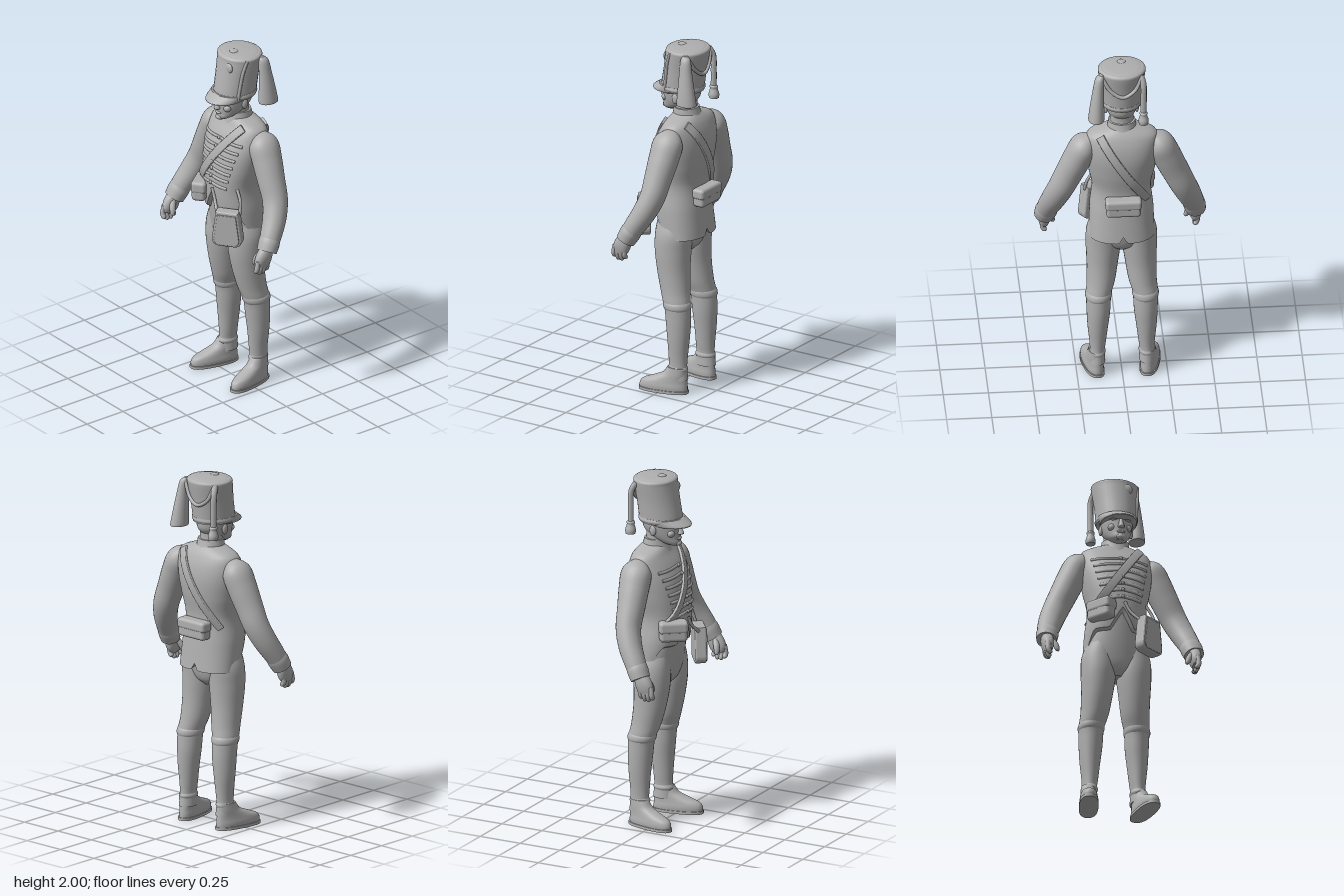
import * as THREE from 'three';
import { RoundedBoxGeometry } from 'three/addons/geometries/RoundedBoxGeometry.js';

const V = (x, y, z) => new THREE.Vector3(x, y, z);
const sgnPow = (v, e) => Math.sign(v) * Math.pow(Math.abs(v), e);

// Closed skin over equal-length rings, with flat caps at both ends
function skin(rings) {
  const n = rings[0].length;
  const centre = r => {
    const c = r.reduce((s, p) => s.add(p), V(0, 0, 0)).divideScalar(n);
    return r.map(() => c);
  };
  const last = rings[rings.length - 1];
  const rows = [centre(rings[0]), rings[0], ...rings, last, centre(last)];
  const index = [];
  for (let i = 0; i < rows.length - 1; i++) {
    if (i === 1 || i === rows.length - 3) continue;
    for (let j = 0; j < n; j++) {
      const k = (j + 1) % n, a = i * n, b = a + n;
      index.push(a + j, b + j, a + k, b + j, b + k, a + k);
    }
  }
  const g = new THREE.BufferGeometry().setFromPoints(rows.flat());
  g.setIndex(index);
  g.computeVertexNormals();
  return g;
}

// Smooth loft through [x, y, z, rx, rz]; rings lie level or square to the path
function loft(rows, { along = false, steps = 6, sides = 28, power = 2 } = {}) {
  const path = new THREE.CatmullRomCurve3(rows.map(r => V(r[0], r[1], r[2])), false, 'catmullrom');
  const size = new THREE.CatmullRomCurve3(rows.map(r => V(r[3], r[4], 0)), false, 'catmullrom');
  const count = (rows.length - 1) * steps, rings = [];
  for (let i = 0; i <= count; i++) {
    const t = i / count, p = path.getPoint(t), s = size.getPoint(t);
    const d = along ? path.getTangent(t) : V(0, 1, 0);
    const z = V(0, 0, 1).addScaledVector(d, -d.z).normalize();
    const x = d.clone().cross(z);
    rings.push(Array.from({ length: sides }, (_, j) => {
      const a = j / sides * Math.PI * 2;
      return p.clone()
        .addScaledVector(x, s.x * sgnPow(Math.cos(a), 2 / power))
        .addScaledVector(z, s.y * sgnPow(Math.sin(a), 2 / power));
    }));
  }
  return skin(rings);
}

// Jacket body profile: height, centre z, half width, half depth
const BODY = [[.88, -.065, .18, .125], [1.06, -.025, .176, .148], [1.2, -.012, .163, .15],
  [1.32, -.025, .185, .155], [1.42, -.04, .2, .148], [1.5, -.053, .202, .125],
  [1.56, -.06, .188, .095], [1.585, -.058, .14, .08], [1.605, -.055, .07, .065]];
function bodyAt(y) {
  let i = 0;
  while (i < BODY.length - 2 && BODY[i + 1][0] < y) i++;
  const a = BODY[i], b = BODY[i + 1];
  const t = THREE.MathUtils.clamp((y - a[0]) / (b[0] - a[0]), 0, 1);
  const slope = (k, c) => {
    const p = BODY[Math.max(k - 1, 0)], q = BODY[Math.min(k + 1, BODY.length - 1)];
    return (q[c] - p[c]) / (q[0] - p[0]) * (b[0] - a[0]);
  };
  return [1, 2, 3].map(c => (2 * t ** 3 - 3 * t * t + 1) * a[c] + (t ** 3 - 2 * t * t + t) * slope(i, c)
    + (3 * t * t - 2 * t ** 3) * b[c] + (t ** 3 - t * t) * slope(i + 1, c));
}
const POWER = 2.3;
function bodyZ(x, y, side) {
  const [cz, rx, rz] = bodyAt(y);
  const q = Math.min(Math.abs(x / rx), .99);
  return cz + side * rz * Math.pow(1 - q ** POWER, 1 / POWER);
}

// Jacket with a long back hem and a cut-away front
function jacketGeometry() {
  const sides = 72, steps = 48, rings = [];
  const hem = a => {
    const s = Math.sin(a), c = Math.abs(Math.cos(a));
    const gap = s > 0 ? .12 * Math.max(0, 1 - c / .35) : -.0;
    const vent = s < 0 ? .04 * Math.max(0, 1 - c / .1) : 0;
    return .9 + .15 * THREE.MathUtils.smoothstep(s, .15, .65) + gap + vent;
  };
  for (let i = 0; i <= steps; i++) {
    rings.push(Array.from({ length: sides }, (_, j) => {
      const a = j / sides * Math.PI * 2;
      const y = THREE.MathUtils.lerp(hem(a), 1.605, i / steps);
      const [cz, rx, rz] = bodyAt(y);
      return V(rx * sgnPow(Math.cos(a), 2 / POWER), y, cz + rz * sgnPow(Math.sin(a), 2 / POWER));
    }));
  }
  return skin(rings);
}

export function createModel() {
  const model = new THREE.Group();
  const grey = new THREE.MeshStandardMaterial({ color: 0xb0b0b0 });
  grey.name = 'plain grey';
  const add = (name, geometry, parent = model) => {
    const m = new THREE.Mesh(geometry, grey);
    m.name = name;
    parent.add(m);
    return m;
  };
  const ball = (name, x, y, z, rx, ry, rz) => {
    const m = add(name, new THREE.SphereGeometry(1, 20, 14));
    m.position.set(x, y, z);
    m.scale.set(rx, ry, rz);
    return m;
  };
  const cord = (name, pts, r) => add(name, new THREE.TubeGeometry(
    new THREE.CatmullRomCurve3(pts.map(p => V(...p))), 32, r, 8));

  // Jacket, collar and trouser seat
  add('jacket', jacketGeometry());
  add('collar', loft([[0, 1.56, -.055, .088, .09], [0, 1.6, -.052, .08, .076], [0, 1.635, -.05, .075, .068]]));
  add('trouserSeat', loft([[0, .8, -.03, .04, .06], [0, .84, -.03, .13, .095], [0, .92, -.03, .18, .115],
    [0, 1.05, -.025, .165, .13], [0, 1.19, -.015, .145, .135]]));

  // Chest braid rows and buttons
  for (let i = 0; i < 7; i++) {
    const y = 1.23 + i * .043, w = .105 + i * .009;
    const row = Array.from({ length: 9 }, (_, k) => {
      const x = w * (k / 4 - 1), yy = y - .012 * Math.abs(k / 4 - 1);
      return [x, yy, bodyZ(x, yy, 1), .009, .007];
    });
    add('braid', loft(row, { along: true, steps: 2, sides: 10 }));
    ball('button', 0, y, bodyZ(0, y, 1) + .005, .01, .01, .01);
  }

  // Cross belt over the left shoulder, front and back
  for (const side of [1, -1]) {
    const belt = Array.from({ length: 10 }, (_, k) => {
      const t = k / 9, x = THREE.MathUtils.lerp(.125, -.135, t);
      const y = THREE.MathUtils.lerp(1.572, side > 0 ? 1.19 : 1.15, t);
      return [x, y, bodyZ(x, y, side) + side * .006, .024, .009];
    });
    add('crossBelt', loft(belt, { along: true, steps: 3, sides: 16, power: 5 }));
  }

  // Pouches at the right hip and on the back
  const hip = add('hipPouch', new RoundedBoxGeometry(.155, .105, .08, 4, .022));
  hip.position.set(-.118, 1.14, .115);
  hip.rotation.y = -.92;
  const flap = add('hipPouchFlap', new RoundedBoxGeometry(.162, .07, .088, 4, .02), hip);
  flap.position.y = .03;
  const back = add('backPouch', new RoundedBoxGeometry(.19, .1, .07, 4, .018));
  back.position.set(0, 1.14, -.185);
  const backFlap = add('backPouchFlap', new RoundedBoxGeometry(.2, .06, .078, 4, .018), back);
  backFlap.position.y = .025;

  // Flat satchel hanging at the left hip
  const shape = new THREE.Shape();
  shape.moveTo(-.055, .095);
  shape.lineTo(.055, .095);
  shape.lineTo(.075, -.06);
  shape.quadraticCurveTo(.075, -.095, .04, -.095);
  shape.lineTo(-.04, -.095);
  shape.quadraticCurveTo(-.075, -.095, -.075, -.06);
  const bag = new THREE.Group();
  bag.name = 'satchel';
  bag.position.set(.15, 1.005, .14);
  bag.rotation.y = .64;
  model.add(bag);
  const bevel = { bevelEnabled: true, bevelSize: .01, bevelThickness: .01, bevelSegments: 3 };
  add('satchelBody', new THREE.ExtrudeGeometry(shape, { depth: .045, ...bevel }).translate(0, 0, -.03), bag);
  add('satchelFlap', new THREE.ExtrudeGeometry(shape, { depth: .006, ...bevel, bevelSize: .004, bevelThickness: .004 })
    .scale(.92, .92, 1).translate(0, -.004, .02), bag);
  cord('satchelStrap', [[.01, 1.2, .14], [.04, 1.14, .145], [.085, 1.09, .165]], .009);
  cord('satchelStrap', [[.145, 1.22, .07], [.18, 1.16, .075], [.195, 1.09, .09]], .009);

  // Limbs, mirrored
  for (const s of [1, -1]) {
    const side = rows => rows.map(r => [s * r[0], ...r.slice(1)]);
    const part = (name, rows, opt) => add(name, loft(side(rows), opt));
    const bent = { along: true };
    part('sleeve', [[.415, .955, .068, .054, .05], [.402, 1.02, .035, .06, .058], [.372, 1.11, -.015, .068, .065],
      [.335, 1.2, -.047, .073, .07], [.29, 1.3, -.055, .077, .077], [.245, 1.4, -.062, .08, .085],
      [.205, 1.485, -.066, .074, .085], [.165, 1.535, -.066, .03, .04]], bent);
    part('cuff', [[.418, .948, .074, .057, .054], [.409, .99, .052, .062, .058], [.402, 1.015, .038, .058, .056]], bent);
    part('palm', [[.42, .865, .115, .02, .035], [.418, .895, .105, .03, .048], [.418, .93, .09, .034, .047],
      [.416, .97, .07, .032, .036]], { ...bent, power: 2.3 });
    for (let i = 0; i < 4; i++) {
      const z = .075 + i * .023, drop = [.012, 0, 0, .012][i];
      part('finger', [[.412, .823 + drop, z + .003, .004, .004], [.415, .832 + drop, z + .003, .013, .013],
        [.426, .865, z + .004, .015, .014], [.424, .91, z - .004, .015, .014]], { ...bent, sides: 12 });
    }
    part('thumb', [[.366, .865, .125, .004, .004], [.368, .877, .123, .013, .013], [.38, .91, .115, .017, .017],
      [.405, .945, .095, .018, .018]], { ...bent, sides: 12 });

    part('trouserLeg', [[.13, .46, -.082, .06, .066], [.128, .52, -.07, .07, .078], [.115, .59, -.053, .078, .085],
      [.106, .7, -.035, .087, .094], [.1, .82, -.027, .097, .104], [.098, .92, -.03, .094, .105],
      [.085, 1.02, -.03, .07, .095]]);
    part('boot', [[.137, .08, -.085, .044, .06], [.137, .15, -.084, .041, .054], [.135, .21, -.084, .046, .056],
      [.134, .31, -.085, .057, .064], [.131, .4, -.083, .065, .071], [.13, .47, -.079, .068, .074],
      [.13, .51, -.074, .069, .077]]);
    part('bootRim', [[.13, .485, -.077, .066, .074], [.13, .5, -.075, .073, .081], [.129, .52, -.072, .073, .081],
      [.128, .535, -.07, .066, .074]]);
    part('ankleFold', [[.137, .125, -.083, .04, .054], [.137, .14, -.083, .046, .06], [.137, .158, -.083, .04, .053]]);
    const foot = new THREE.Group();
    foot.name = 'foot';
    foot.position.set(s * .16, 0, -.005);
    foot.rotation.y = s * .2;
    model.add(foot);
    add('sole', loft([[0, 0, 0, .054, .145], [0, .016, 0, .054, .145]], { power: 2.5 }), foot);
    add('shoe', loft([[0, .01, 0, .049, .14], [0, .035, 0, .051, .14], [0, .06, -.008, .048, .13],
      [0, .085, -.038, .045, .098], [0, .11, -.065, .043, .07], [0, .15, -.08, .04, .055]], { power: 2.3 }), foot);
  }

  // Head and face
  add('neck', loft([[0, 1.57, -.05, .07, .068], [0, 1.64, -.045, .065, .062], [0, 1.72, -.04, .07, .07]]));
  add('head', loft([[0, 1.603, .055, .02, .03], [0, 1.62, .037, .047, .058], [0, 1.65, .005, .068, .087],
    [0, 1.69, -.015, .083, .108], [0, 1.73, -.02, .09, .113], [0, 1.78, -.025, .09, .11]]));
  add('nose', loft([[0, 1.668, .09, .012, .012], [0, 1.676, .096, .018, .021], [0, 1.7, .09, .012, .017],
    [0, 1.735, .08, .01, .012]]));
  ball('lips', 0, 1.646, .09, .024, .008, .01);
  ball('chin', 0, 1.618, .085, .024, .015, .017);
  for (const s of [1, -1]) {
    ball('brow', s * .035, 1.725, .08, .026, .01, .015);
    ball('cheek', s * .042, 1.68, .06, .026, .022, .022);
    ball('ear', s * .086, 1.695, -.03, .011, .03, .02);
  }

  // Tall cap with peak, rims and badge
  add('cap', loft([[0, 1.735, -.025, .112, .122], [0, 1.77, -.028, .113, .123], [0, 1.86, -.042, .119, .12],
    [0, 1.95, -.058, .13, .12], [0, 1.975, -.06, .131, .119], [0, 1.985, -.06, .118, .106]]));
  add('capTop', loft([[0, 1.975, -.06, .12, .108], [0, 1.988, -.06, .1, .09], [0, 1.994, -.06, .02, .02]]));
  ball('topButton', 0, 1.99, -.02, .025, .01, .025);
  add('capBand', loft([[0, 1.74, -.024, .113, .124], [0, 1.75, -.025, .118, .128], [0, 1.765, -.027, .114, .124]]));
  add('peak', loft([[0, 1.722, .034, .098, .122], [0, 1.732, .03, .104, .122], [0, 1.762, 0, .112, .108]]));
  ball('badge', .045, 1.925, .05, .03, .03, .013);
  cord('sideCord', [[.118, 1.975, -.02], [.112, 1.9, .005], [.105, 1.82, .018], [.1, 1.74, .03]], .01);

  // Hanging bag, tassel and swag cord behind the cap
  add('capBag', loft([[.147, 1.7, -.146, .044, .058], [.146, 1.715, -.145, .045, .058], [.142, 1.79, -.14, .039, .049],
    [.135, 1.88, -.133, .031, .038], [.127, 1.95, -.127, .025, .03], [.118, 1.975, -.122, .012, .015]]));
  cord('tasselCord', [[-.1, 1.965, -.125], [-.113, 1.92, -.148], [-.114, 1.82, -.153], [-.113, 1.72, -.153]], .017);
  add('tassel', loft([[-.113, 1.668, -.155, .026, .028], [-.113, 1.69, -.155, .028, .03],
    [-.113, 1.72, -.154, .02, .022], [-.113, 1.735, -.153, .022, .024], [-.113, 1.745, -.153, .012, .012]]));
  cord('swagCord', [[-.1, 1.95, -.14], [-.065, 1.88, -.153], [0, 1.845, -.164], [.065, 1.88, -.153], [.11, 1.95, -.135]], .011);

  return model;
}
